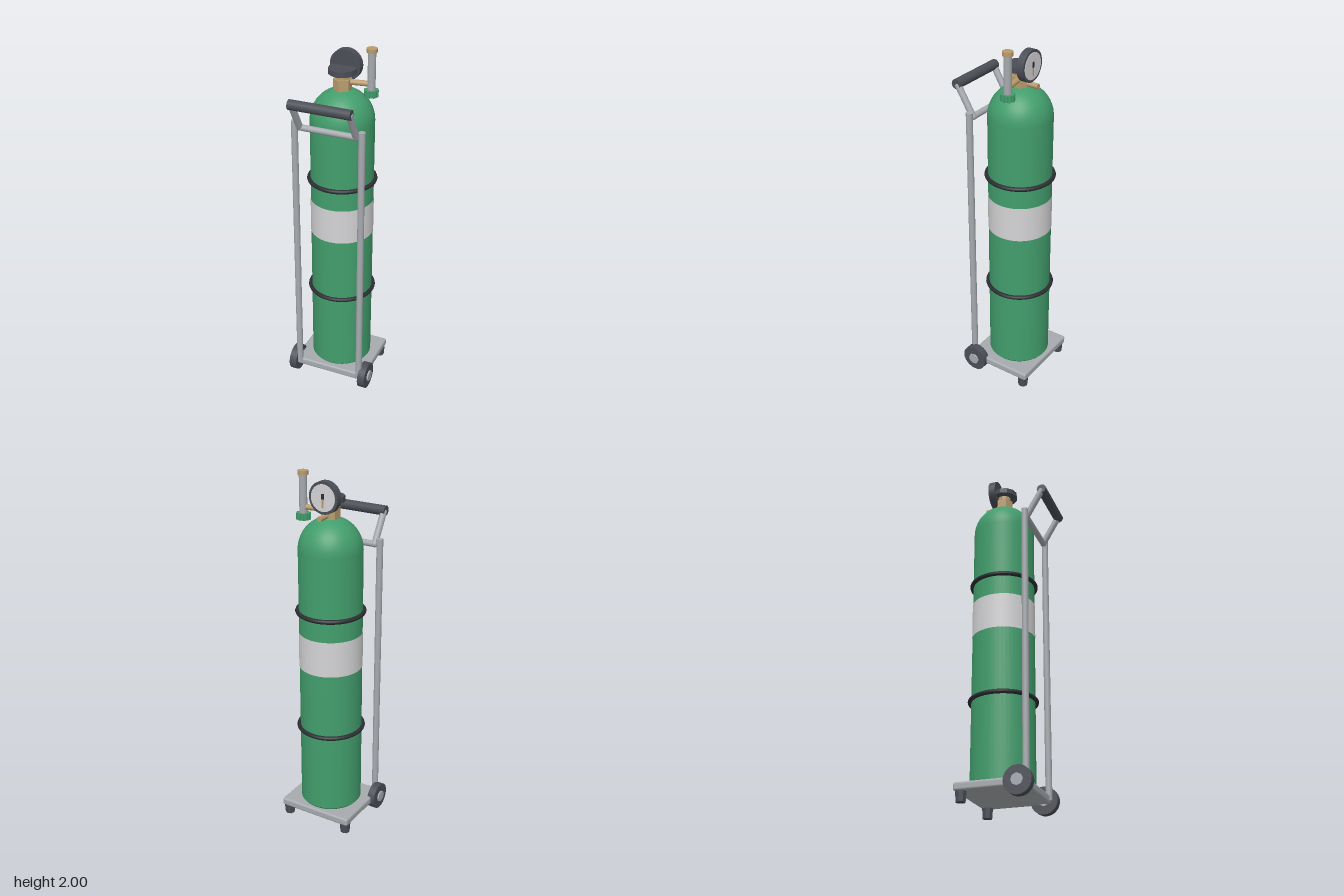
import * as THREE from 'three';
import { RoundedBoxGeometry } from 'three/addons/geometries/RoundedBoxGeometry.js';
import { toCreasedNormals } from 'three/addons/utils/BufferGeometryUtils.js';

const paint = (name, color) => {
  const m = new THREE.MeshStandardMaterial({ color });
  m.name = name;
  return m;
};

export function createModel() {
  const green = paint('tank green', 0x429d6c);
  const steel = paint('frame grey', 0xa6aaae);
  const dark = paint('dark grey', 0x4b4e56);
  const rubber = paint('strap black', 0x2c2e33);
  const brass = paint('brass', 0xb99c6e);
  const pale = paint('pale grey', 0xd4d4d6);

  const model = new THREE.Group();
  model.name = 'gasCylinderTrolley';
  const TANK_Z = -0.06, TANK_R = 0.172;

  const add = (name, geometry, material, x = 0, y = 0, z = 0, parent = model) => {
    const mesh = new THREE.Mesh(geometry, material);
    mesh.name = name;
    mesh.position.set(x, y, z);
    parent.add(mesh);
    return mesh;
  };
  // Round bar between two points
  const bar = (name, a, b, r, material, sides = 20) => {
    const from = new THREE.Vector3(...a), to = new THREE.Vector3(...b);
    const dir = to.clone().sub(from);
    const mesh = add(name, new THREE.CylinderGeometry(r, r, dir.length(), sides), material);
    mesh.position.copy(from).addScaledVector(dir, 0.5);
    mesh.quaternion.setFromUnitVectors(new THREE.Vector3(0, 1, 0), dir.normalize());
    return mesh;
  };
  // Prism with crisp facets
  const prism = (rTop, rBottom, h, sides) =>
    toCreasedNormals(new THREE.CylinderGeometry(rTop, rBottom, h, sides), 0.3);

  // Tank with domed shoulder
  const profile = [new THREE.Vector2(0, 0.098), new THREE.Vector2(TANK_R - 0.01, 0.098),
    new THREE.Vector2(TANK_R, 0.11)];
  for (let i = 0; i <= 16; i++) {
    const a = (i / 16) * Math.PI / 2;
    profile.push(new THREE.Vector2(TANK_R * Math.cos(a), 1.6 + 0.174 * Math.sin(a)));
  }
  add('tank', toCreasedNormals(new THREE.LatheGeometry(profile, 48), 0.5), green, 0, 0, TANK_Z);
  add('labelBand', new THREE.CylinderGeometry(TANK_R + 0.002, TANK_R + 0.002, 0.2, 48, 1, true),
    pale, 0, 1.04, TANK_Z);
  for (const y of [0.57, 1.26]) {
    const strap = add('strap', new THREE.TorusGeometry(0.179, 0.012, 10, 48), rubber, 0, y, TANK_Z);
    strap.rotation.x = Math.PI / 2;
  }

  // Trolley base and frame
  add('basePlate', new RoundedBoxGeometry(0.436, 0.045, 0.385, 3, 0.012), steel, 0, 0.077, -0.056);
  for (const s of [-1, 1]) {
    bar('rail', [s * 0.188, 0.07, 0.128], [s * 0.188, 1.635, 0.128], 0.018, steel);
    bar('handleArm', [s * 0.157, 1.602, 0.128], [s * 0.157, 1.762, 0.222], 0.018, steel);
    add('armJoint', new THREE.SphereGeometry(0.018, 16, 12), steel, s * 0.157, 1.602, 0.128);
    add('foot', prism(0.031, 0.027, 0.056, 8), dark, s * 0.188, 0.028, -0.215);

    const wheel = new THREE.Group();
    wheel.name = 'wheel';
    wheel.position.set(s * 0.217, 0.076, 0.098);
    wheel.rotation.z = -s * Math.PI / 2;
    model.add(wheel);
    add('tyre', prism(0.075, 0.075, 0.043, 24), dark, 0, 0, 0, wheel);
    add('hub', prism(0.032, 0.032, 0.06, 8), steel, 0, 0.001, 0, wheel);
  }
  bar('crossbar', [-0.157, 1.602, 0.128], [0.157, 1.602, 0.128], 0.017, steel);
  bar('grip', [-0.17, 1.762, 0.222], [0.17, 1.762, 0.222], 0.027, dark);

  // Valve and handwheel
  add('valveBody', prism(0.05, 0.05, 0.075, 6), brass, 0, 1.79, TANK_Z);
  add('valveNeck', prism(0.037, 0.037, 0.035, 12), brass, 0, 1.84, TANK_Z);
  add('handwheel', prism(0.075, 0.075, 0.03, 12), dark, 0, 1.87, TANK_Z);
  bar('outletPort', [0, 1.785, -0.06], [0, 1.785, -0.167], 0.014, brass, 16);

  // Pressure gauge facing the rear
  const gauge = new THREE.Group();
  gauge.name = 'pressureGauge';
  gauge.position.set(0, 1.885, -0.111);
  gauge.rotation.x = -Math.PI / 2;
  model.add(gauge);
  add('gaugeCase', new THREE.CylinderGeometry(0.085, 0.085, 0.04, 32), dark, 0, 0, 0, gauge);
  add('gaugeFace', new THREE.CylinderGeometry(0.071, 0.071, 0.004, 32), pale, 0, 0.021, 0, gauge);
  add('needle', new THREE.BoxGeometry(0.01, 0.004, 0.05), brass, 0, 0.024, -0.025, gauge);
  add('needleTail', new THREE.BoxGeometry(0.014, 0.005, 0.028), rubber, 0, 0.024, 0.008, gauge);

  // Flow meter on its side arm
  const FX = 0.15, FZ = -0.085;
  bar('flowArm', [0.02, 1.81, -0.065], [FX, 1.81, FZ], 0.015, brass, 16);
  add('flowTube', new THREE.CylinderGeometry(0.021, 0.021, 0.21, 24), steel, FX, 1.88, FZ);
  add('flowCap', new THREE.CylinderGeometry(0.028, 0.028, 0.022, 24), brass, FX, 1.989, FZ);
  add('flowKnob', prism(0.034, 0.034, 0.036, 16), green, FX, 1.762, FZ);
  for (let i = 0; i < 8; i++) {
    const a = (i / 8) * Math.PI * 2;
    const lobe = add('knobLobe', new THREE.BoxGeometry(0.012, 0.036, 0.012), green,
      FX + Math.cos(a) * 0.032, 1.762, FZ + Math.sin(a) * 0.032);
    lobe.rotation.y = -a;
  }
  return model;
}
